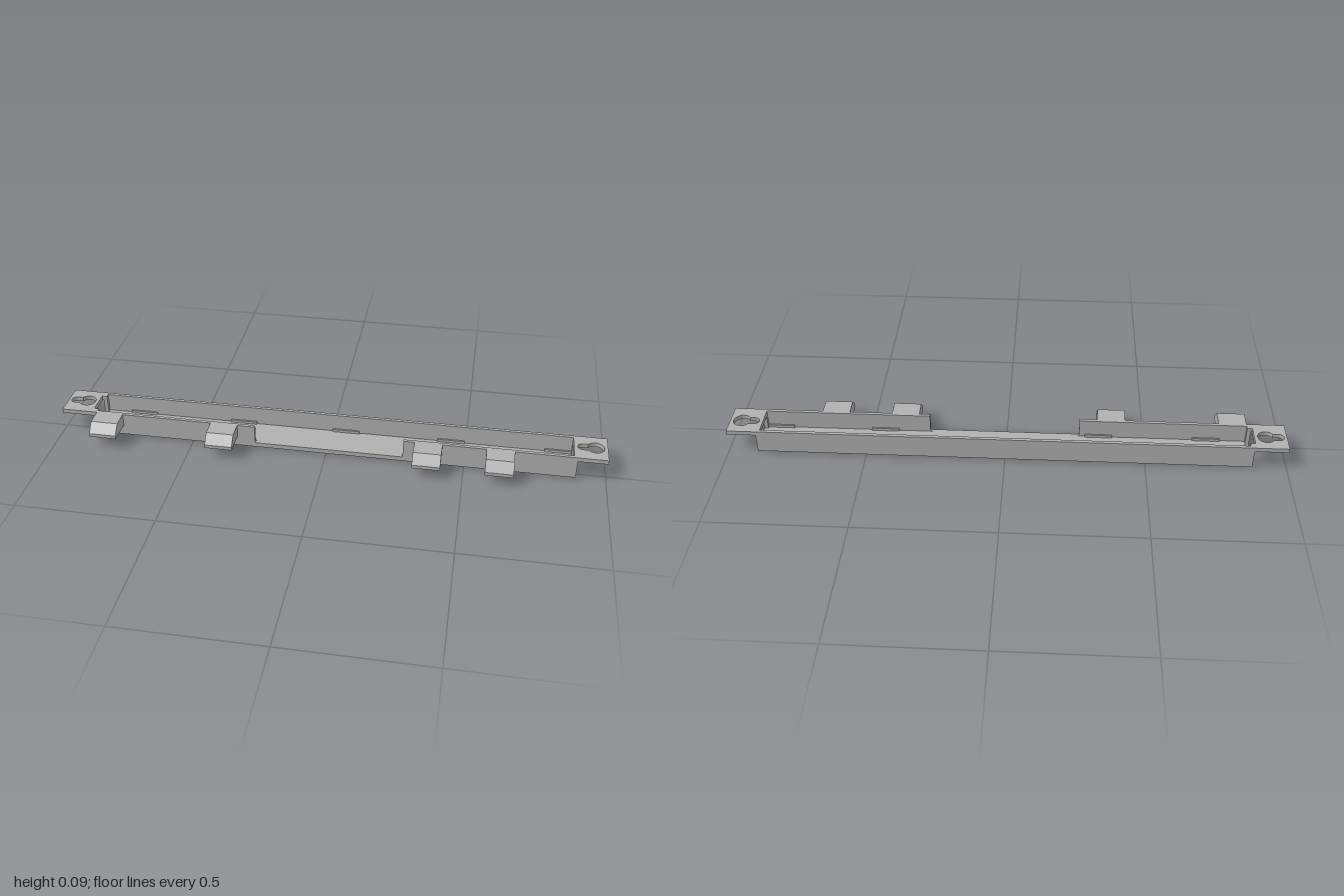
import * as THREE from 'three';

const TOP = 0.086, FLOOR = 0.017, PLATE = 0.07;   // heights
const BACK = -0.115, FRONT = 0.022, WALL = 0.012; // depth limits and wall thickness
const LEFT = -0.88, RIGHT = 0.895, END = 0.014;   // tray ends and end wall thickness
const OPEN_B = -0.089, OPEN_F = -0.003;           // end opening in z

export function createModel() {
  const grey = new THREE.MeshStandardMaterial({ color: 0xb0b0b0 });
  grey.name = 'grey';
  const group = new THREE.Group();
  group.name = 'mountingTray';

  const add = (name, geometry) => {
    const mesh = new THREE.Mesh(geometry, grey);
    mesh.name = name;
    group.add(mesh);
    return mesh;
  };
  // Box given by its limits
  const box = (name, x0, x1, y0, y1, z0, z1) =>
    add(name, new THREE.BoxGeometry(x1 - x0, y1 - y0, z1 - z0)
      .translate((x0 + x1) / 2, (y0 + y1) / 2, (z0 + z1) / 2));
  const rect = (Type, x0, x1, z0, z1) => {
    const s = new Type();
    s.moveTo(x0, -z1);
    s.lineTo(x1, -z1);
    s.lineTo(x1, -z0);
    s.lineTo(x0, -z0);
    s.closePath();
    return s;
  };
  // Horizontal plate from a plan outline
  const plate = (name, shape, y0, y1) =>
    add(name, new THREE.ExtrudeGeometry(shape, { depth: y1 - y0, bevelEnabled: false, curveSegments: 20 })
      .rotateX(-Math.PI / 2).translate(0, y0, 0));

  // Floor, notched at the left end
  const floor = new THREE.Shape();
  [[LEFT, -FRONT], [RIGHT, -FRONT], [RIGHT, -BACK], [LEFT, -BACK],
    [LEFT, -OPEN_B], [LEFT + END, -OPEN_B], [LEFT + END, -OPEN_F], [LEFT, -OPEN_F]]
    .forEach(([x, y], i) => (i ? floor.lineTo(x, y) : floor.moveTo(x, y)));
  floor.closePath();
  plate('floor', floor, 0, FLOOR);

  box('backWall', LEFT, RIGHT, FLOOR, TOP, BACK, BACK + WALL);

  // Front wall with a wide window that has rounded lower corners
  const c0 = -0.265, c1 = 0.28, r = 0.008, low = FLOOR;
  const front = new THREE.Shape();
  front.moveTo(LEFT, 0);
  front.lineTo(RIGHT, 0);
  front.lineTo(RIGHT, TOP);
  front.lineTo(c1, TOP);
  front.lineTo(c1, low + r);
  front.quadraticCurveTo(c1, low, c1 - r, low);
  front.lineTo(c0 + r, low);
  front.quadraticCurveTo(c0, low, c0, low + r);
  front.lineTo(c0, TOP);
  front.lineTo(LEFT, TOP);
  front.closePath();
  add('frontWall', new THREE.ExtrudeGeometry(front, { depth: WALL, bevelEnabled: false, curveSegments: 6 })
    .translate(0, 0, FRONT - WALL));

  // Posts on both sides of each end opening
  for (const [x0, x1] of [[LEFT, LEFT + END], [RIGHT - END, RIGHT]]) {
    box('endPost', x0, x1, FLOOR, PLATE, BACK + WALL, OPEN_B);
    box('endPost', x0, x1, FLOOR, PLATE, OPEN_F, FRONT - WALL);
  }

  // Keyhole: round hole with a narrow slot towards -x
  const keyhole = (cx, cz) => {
    const R = 0.031, h = 0.018, slotX = cx - 0.045, a = Math.asin(h / R);
    const p = new THREE.Path();
    p.absarc(cx, -cz, R, -Math.PI + a, Math.PI - a, false);
    p.absarc(slotX, -cz, h, Math.PI / 2, Math.PI * 1.5, false);
    p.closePath();
    return p;
  };
  // Mounting flanges
  const leftFlange = rect(THREE.Shape, -1, LEFT + END, BACK, FRONT);
  leftFlange.holes.push(keyhole(-0.927, -0.05));
  // Left flange is notched above the end opening
  const notched = new THREE.Shape();
  [[-1, -FRONT], [LEFT + END, -FRONT], [LEFT + END, -OPEN_F], [LEFT - 0.004, -OPEN_F],
    [LEFT - 0.004, -OPEN_B], [LEFT + END, -OPEN_B], [LEFT + END, -BACK], [-1, -BACK]]
    .forEach(([x, y], i) => (i ? notched.lineTo(x, y) : notched.moveTo(x, y)));
  notched.closePath();
  notched.holes = leftFlange.holes;
  plate('leftEndFlange', notched, PLATE, TOP);
  const rightFlange = rect(THREE.Shape, RIGHT - END, 1, BACK, FRONT);
  rightFlange.holes.push(keyhole(0.957, -0.05));
  plate('rightEndFlange', rightFlange, PLATE, TOP);

  // Chamfered hooks on the front
  const hook = new THREE.Shape([[FRONT, 0.04], [0.116, 0.04], [0.116, 0.053], [0.084, TOP], [FRONT, TOP]]
    .map(([z, y]) => new THREE.Vector2(z, y)));
  for (const x of [-0.866, -0.43, 0.32, 0.576]) {
    add('frontHook', new THREE.ExtrudeGeometry(hook, { depth: 0.1, bevelEnabled: false })
      .rotateY(-Math.PI / 2).translate(x + 0.1, 0, 0));
  }

  // Small ribs low on the inner faces of the long walls
  for (let i = 0; i < 5; i++) {
    const x = -0.775 + i * 0.39;
    const x1 = Math.min(x + 0.1, RIGHT - END);
    box('backRib', x, x1, FLOOR, 0.027, BACK + WALL, BACK + WALL + 0.006);
    if (i !== 2) box('frontRib', x, x1, FLOOR, 0.027, FRONT - WALL - 0.006, FRONT - WALL);
  }
  return group;
}
